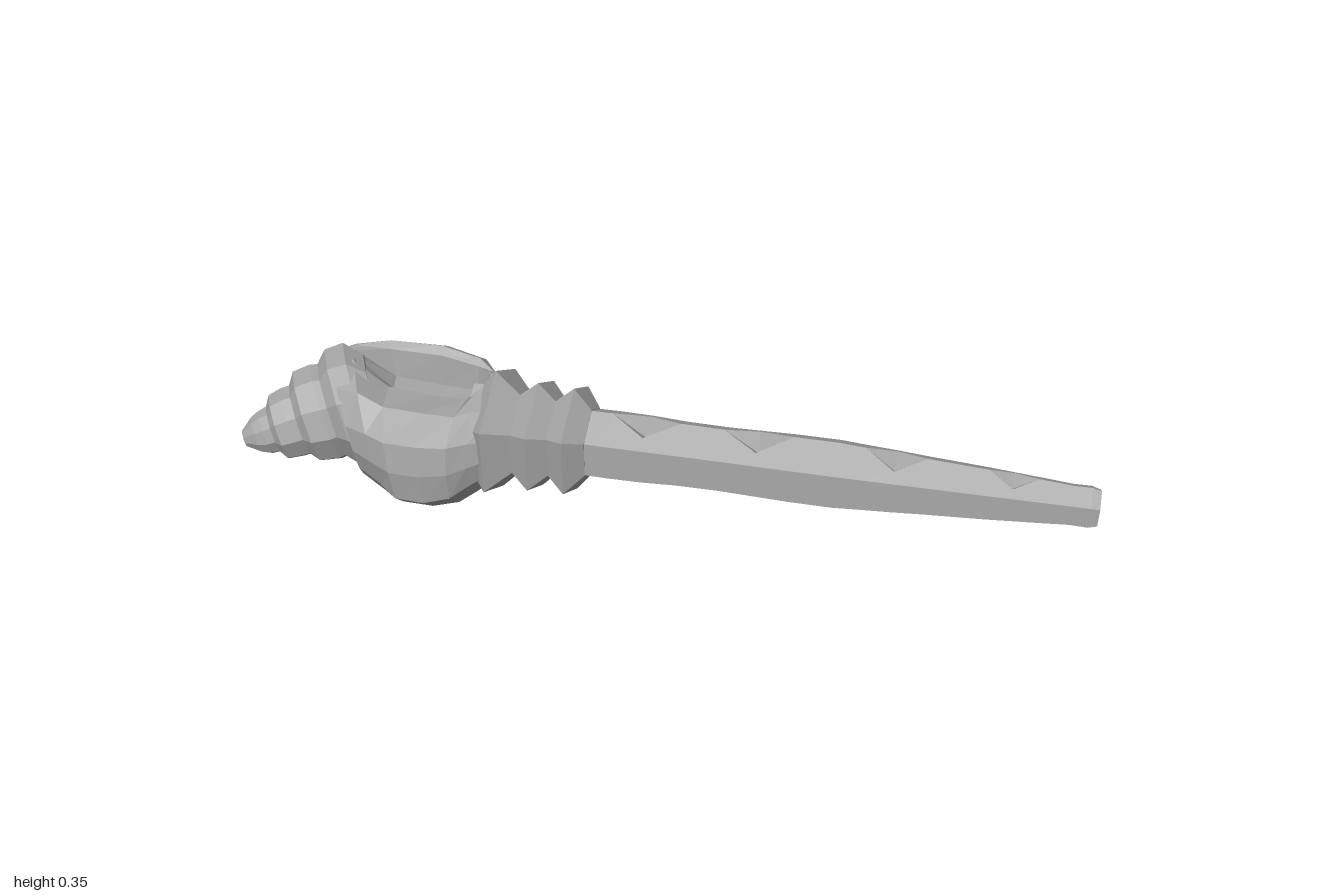
import * as THREE from 'three';

const grey = new THREE.MeshStandardMaterial({ color: 0xa8a8a8, flatShading: true, side: THREE.DoubleSide });
grey.name = 'stone grey';

// Flat-faced skin over equal-length rings ordered along +x, with fan caps on both ends
function loft(name, rings) {
  const pos = [];
  const tri = (a, b, c) => {
    const area = b.clone().sub(a).cross(c.clone().sub(a)).length();
    if (area > 1e-8) for (const p of [a, b, c]) pos.push(p.x, p.y, p.z);
  };
  const n = rings[0].length;
  for (let i = 0; i < rings.length - 1; i++) {
    for (let j = 0; j < n; j++) {
      const k = (j + 1) % n, r = rings[i], s = rings[i + 1];
      tri(r[j], r[k], s[j]);
      tri(r[k], s[k], s[j]);
    }
  }
  const first = rings[0], last = rings[rings.length - 1];
  for (let j = 1; j < n - 1; j++) {
    tri(first[0], first[j + 1], first[j]);
    tri(last[0], last[j], last[j + 1]);
  }
  const geo = new THREE.BufferGeometry();
  geo.setAttribute('position', new THREE.Float32BufferAttribute(pos, 3));
  geo.computeVertexNormals();
  const mesh = new THREE.Mesh(geo, grey);
  mesh.name = name;
  return mesh;
}

const CY = 0.182, CZ = -0.006;
// Point on a ring around the pipe axis; angle runs from +z towards +y
function around(x, r, deg) {
  const a = THREE.MathUtils.degToRad(deg);
  return new THREE.Vector3(x, CY + r * Math.sin(a), CZ + r * Math.cos(a));
}

// Hexagonal pipe whose top ridge is cut by diamond finger holes
function pipe() {
  const section = ([x, r, pit]) => {
    const hex = [90, 30, -30, -90, -150, -210].map(d => around(x, r, d));
    const ridge = hex[0], f = pit ? 0.6 : 0;
    const sideA = ridge.clone().lerp(hex[1], f), sideB = ridge.clone().lerp(hex[5], f);
    const floor = ridge.clone();
    if (pit) floor.y -= r * 0.65;
    return [floor, sideA, ...hex.slice(1), sideB];
  };
  return loft('pipe', [
    [-0.25, 0.085], [-0.1, 0.087], [-0.02, 0.086, true], [0.06, 0.082],
    [0.16, 0.081], [0.24, 0.083, true], [0.32, 0.085], [0.42, 0.085],
    [0.48, 0.081], [0.55, 0.077, true], [0.62, 0.072],
    [0.755, 0.064], [0.81, 0.06, true], [0.865, 0.056],
    [0.94, 0.05], [0.98, 0.051], [1, 0.045],
    [1, 0.03], [0.94, 0.026] // mouth bore
  ].map(section));
}

// Hexagonal zigzag collar of three ridges
function collar() {
  return loft('collar', [
    [-0.43, 0.12], [-0.405, 0.125], [-0.375, 0.163], [-0.32, 0.105], [-0.275, 0.144],
    [-0.235, 0.1], [-0.19, 0.141], [-0.15, 0.088], [-0.15, 0.05]
  ].map(([x, r]) => [90, 30, -30, -90, -150, -210].map(d => around(x, r, d))));
}

// Shell body: round at both ends, opening between a back lip and an inner whorl
function body() {
  // z, y, and the matching angle on the round ends
  const profile = [
    [-0.13, 0.315, 130], [-0.11, 0.3, 122], [-0.105, 0.22, 112], [-0.05, 0.22, 102],
    [0, 0.26, 90], [0.1, 0.275, 55], [0.18, 0.235, 22], [0.19, 0.16, -3],
    [0.18, 0.08, -27], [0.11, 0.02, -54], [0.03, 0, -80], [-0.06, 0, -110],
    [-0.13, 0.03, -133], [-0.165, 0.09, -154], [-0.19, 0.18, -183], [-0.178, 0.285, -210]
  ];
  // x, scale, opening amount, tilt, centre height
  const stations = [
    [-0.75, 0.8, 0, 0.45, 0.18], [-0.695, 0.95, 0.15, 0.4, 0.175], [-0.63, 1, 0.9, 0.25, 0.17],
    [-0.53, 1, 1, 0.1, 0.17], [-0.45, 0.91, 0.9, 0, 0.17], [-0.41, 0.8, 0.2, 0, 0.175], [-0.36, 0.6, 0, 0, 0.18]
  ];
  return loft('shellBody', stations.map(([x, s, w, k, cy]) => profile.map(([pz, py, deg]) => {
    const a = THREE.MathUtils.degToRad(deg);
    const z = s * THREE.MathUtils.lerp(0.175 * Math.cos(a), pz, w);
    const y = s * THREE.MathUtils.lerp(0.175 * Math.sin(a), py - 0.17, w);
    return new THREE.Vector3(x + k * z - k * 0.4 * y, cy + y, z);
  })));
}

// Stepped spire of tilted bands shrinking to the tip
function spire() {
  const axis = new THREE.Vector3(0.87, 0.2, -0.42).normalize();
  const side = new THREE.Vector3(0.43, 0, 0.9).normalize();
  const up = new THREE.Vector3().crossVectors(side, axis).normalize();
  const SIDES = 10;
  const stations = [
    [-0.988, 0.122, 0.082, 0.02], [-0.96, 0.13, 0.07, 0.045], [-0.94, 0.135, 0.062, 0.055],
    [-0.922, 0.142, 0.055, 0.058], [-0.908, 0.147, 0.05, 0.082], [-0.88, 0.155, 0.035, 0.088],
    [-0.862, 0.16, 0.028, 0.088], [-0.845, 0.167, 0.02, 0.115], [-0.805, 0.175, 0.003, 0.122],
    [-0.79, 0.178, -0.003, 0.118], [-0.765, 0.184, -0.013, 0.148], [-0.72, 0.19, -0.025, 0.158],
    [-0.68, 0.19, -0.03, 0.13]
  ];
  return loft('spire', stations.map(([x, y, z, r]) => Array.from({ length: SIDES }, (_, j) => {
    const a = -j / SIDES * Math.PI * 2;
    return new THREE.Vector3(x, y, z)
      .addScaledVector(side, r * Math.cos(a)).addScaledVector(up, r * Math.sin(a));
  })));
}

export function createModel() {
  const group = new THREE.Group();
  group.name = 'shellFlute';
  group.add(pipe(), collar(), body(), spire());
  return group;
}
